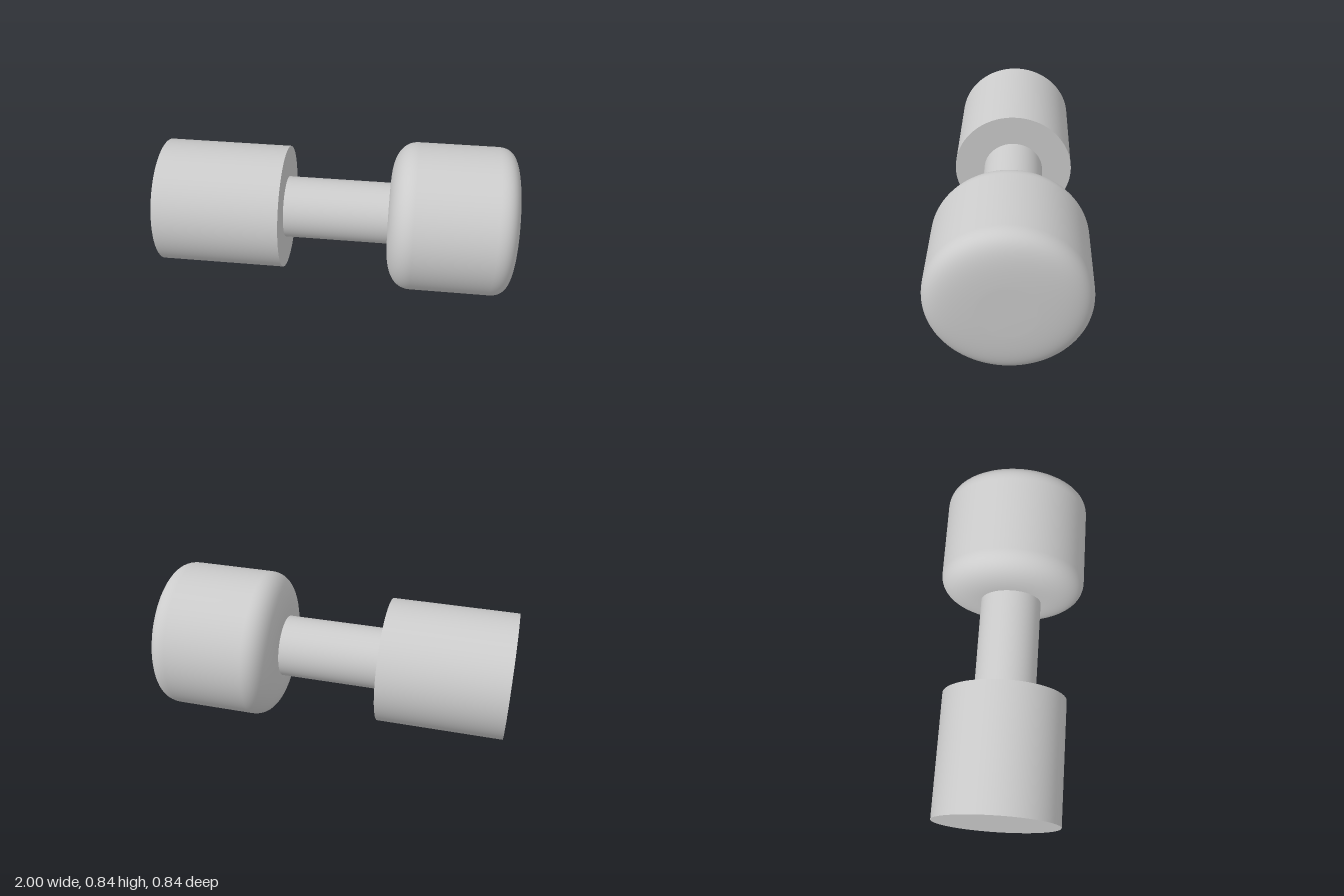
import * as THREE from 'three';

const material = new THREE.MeshStandardMaterial({ color: 0xcccccc });

// Adds a geometry built around y, laid along the x axis
function addAlongX(group, name, geometry, x, y, z) {
  geometry.rotateZ(-Math.PI / 2);
  const mesh = new THREE.Mesh(geometry, material);
  mesh.name = name;
  mesh.position.set(x, y, z);
  group.add(mesh);
}

export function createModel() {
  const group = new THREE.Group();
  group.name = 'dumbbell';
  const v = (r, x) => new THREE.Vector2(r, x);

  // Plain cylindrical weight and handle, a hair off the round weight's axis
  addAlongX(group, 'plainWeight', new THREE.CylinderGeometry(0.35, 0.35, 0.7, 96), -0.65, 0.424, -0.003);
  addAlongX(group, 'handle', new THREE.CylinderGeometry(0.175, 0.175, 0.66, 64), 0, 0.424, -0.003);

  // Rounded weight: profile with softened inner and outer rims
  const innerRim = new THREE.CubicBezierCurve(v(0.19, 0.287), v(0.33, 0.287), v(0.42, 0.335), v(0.42, 0.43));
  const outerRim = new THREE.CubicBezierCurve(v(0.42, 0.87), v(0.42, 0.975), v(0.34, 0.995), v(0.14, 1));
  const profile = [v(0, 0.287), ...innerRim.getPoints(20), ...outerRim.getPoints(20), v(0, 1)];
  addAlongX(group, 'roundedWeight', new THREE.LatheGeometry(profile, 96), 0, 0.42, 0);

  return group;
}
